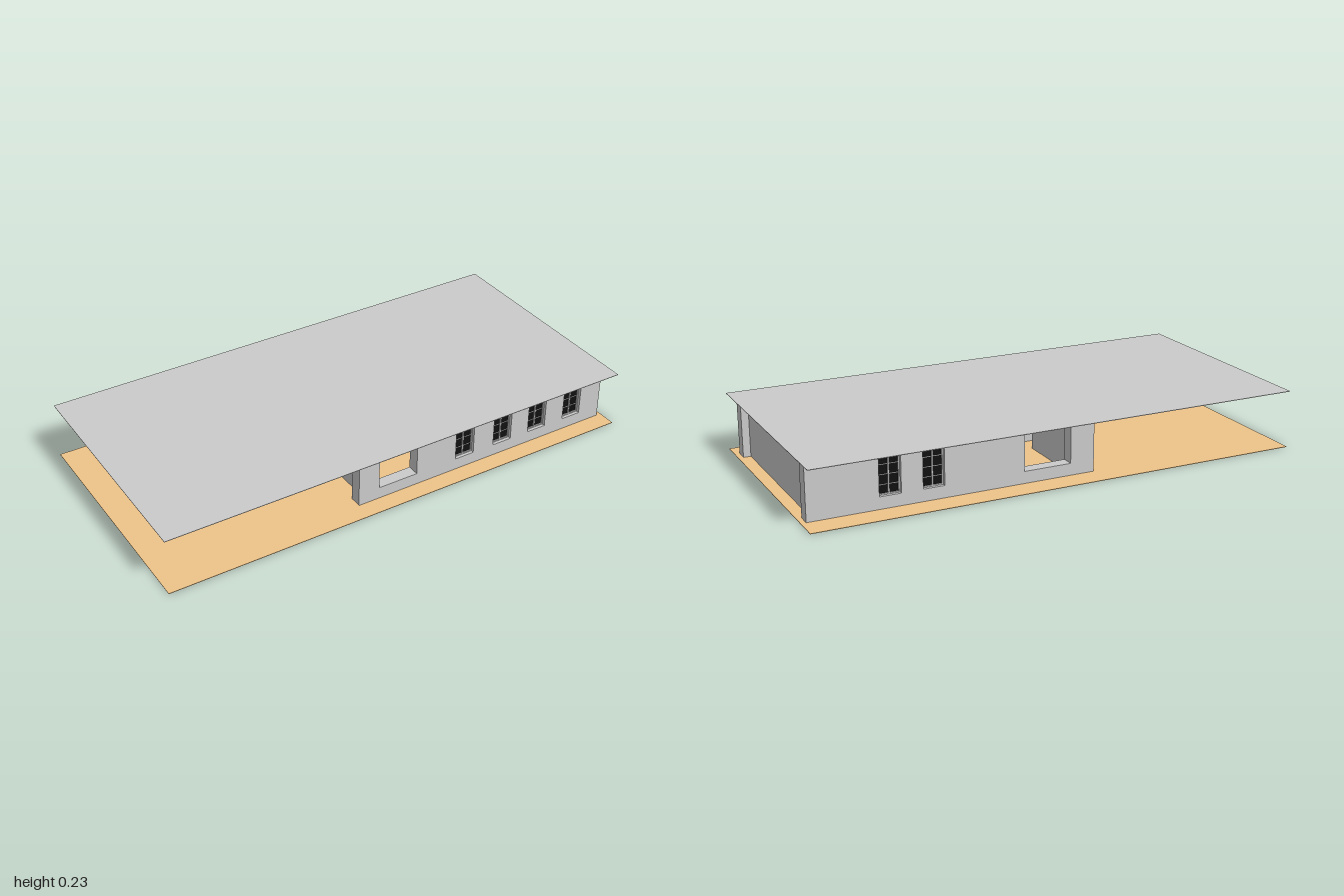
import * as THREE from 'three';

const H = 0.233; // ceiling height
const SILL = 0.05, HEAD = 0.203;

const grey = new THREE.MeshStandardMaterial({ color: 0xcccccc });
const black = new THREE.MeshStandardMaterial({ color: 0x111111 });
const tan = new THREE.MeshStandardMaterial({ color: 0xeec388 });

// Box given by its min and max on each axis
function box(name, [x0, x1], [y0, y1], [z0, z1], material = grey) {
  const mesh = new THREE.Mesh(new THREE.BoxGeometry(x1 - x0, y1 - y0, z1 - z0), material);
  mesh.position.set((x0 + x1) / 2, (y0 + y1) / 2, (z0 + z1) / 2);
  mesh.name = name;
  return mesh;
}

// Long wall along x with rectangular openings [x0, x1]
function wall(name, [x0, x1], [z0, z1], openings) {
  const shape = new THREE.Shape();
  shape.moveTo(x0, 0).lineTo(x1, 0).lineTo(x1, H).lineTo(x0, H).closePath();
  for (const [a, b] of openings) {
    const hole = new THREE.Path();
    hole.moveTo(a, SILL).lineTo(a, HEAD).lineTo(b, HEAD).lineTo(b, SILL).closePath();
    shape.holes.push(hole);
  }
  const mesh = new THREE.Mesh(
    new THREE.ExtrudeGeometry(shape, { depth: z1 - z0, bevelEnabled: false }), grey);
  mesh.position.z = z0;
  mesh.name = name;
  return mesh;
}

// Two-leaf window with dark panes, centred on z
function glazing([x0, x1], z) {
  const group = new THREE.Group();
  group.name = 'window';
  const mid = (x0 + x1) / 2, f = 0.005;
  group.add(box('glass', [x0, x1], [SILL, HEAD], [z - 0.002, z + 0.002], black));
  const zr = [z - 0.007, z + 0.007];
  // frame and centre mullion
  group.add(box('frameSide', [x0, x0 + f], [SILL, HEAD], zr));
  group.add(box('frameSide', [x1 - f, x1], [SILL, HEAD], zr));
  group.add(box('frameTop', [x0, x1], [HEAD - f, HEAD], zr));
  group.add(box('frameBottom', [x0, x1], [SILL, SILL + f], zr));
  group.add(box('mullion', [mid - 0.003, mid + 0.003], [SILL, HEAD], zr));
  // thin glazing bars
  for (let i = 1; i < 4; i++) {
    const y = SILL + (HEAD - SILL) * i / 4;
    group.add(box('glazingBar', [x0, x1], [y - 0.001, y + 0.001], [z - 0.004, z + 0.004]));
  }
  return group;
}

export function createModel() {
  const model = new THREE.Group();
  model.name = 'house';

  // Floor and ceiling slabs
  model.add(box('floor', [-1, 1], [0, 0.002], [-0.485, 0.485], tan));
  model.add(box('ceiling', [-1, 1], [H - 0.001, H + 0.001], [-0.485, 0.485]));

  // Front and back walls with windows and a wide opening each
  const frontWindows = [0.27, 0.45, 0.62, 0.795].map(x => [x, x + 0.085]);
  const backWindows = frontWindows.slice(1, 3);
  model.add(wall('frontWall', [-0.17, 0.98], [0.36, 0.41], [[-0.08, 0.09], ...frontWindows]));
  model.add(wall('backWall', [-0.17, 0.98], [-0.385, -0.335], [[-0.07, 0.125], ...backWindows]));
  for (const w of frontWindows) model.add(glazing(w, 0.39));
  for (const w of backWindows) model.add(glazing(w, -0.365));

  // Recessed right wall with its closet block
  model.add(box('rightWall', [0.925, 0.95], [0, H], [-0.335, 0.36]));
  model.add(box('closet', [0.855, 0.925], [0, H], [-0.235, 0.185]));

  // Recessed left wall with a doorway
  const leftX = [-0.13, -0.08];
  model.add(box('leftWall', leftX, [0, H], [-0.335, -0.05]));
  model.add(box('leftWall', leftX, [0, H], [0.035, 0.36]));
  model.add(box('doorHeader', leftX, [HEAD, H], [-0.05, 0.035]));

  // Inner room block and the header over the passage beside it
  model.add(box('roomBlock', [0.125, 0.32], [0, H], [-0.335, -0.05]));
  model.add(box('passageHeader', [-0.08, 0.125], [HEAD, H], [-0.08, -0.05]));

  return model;
}
